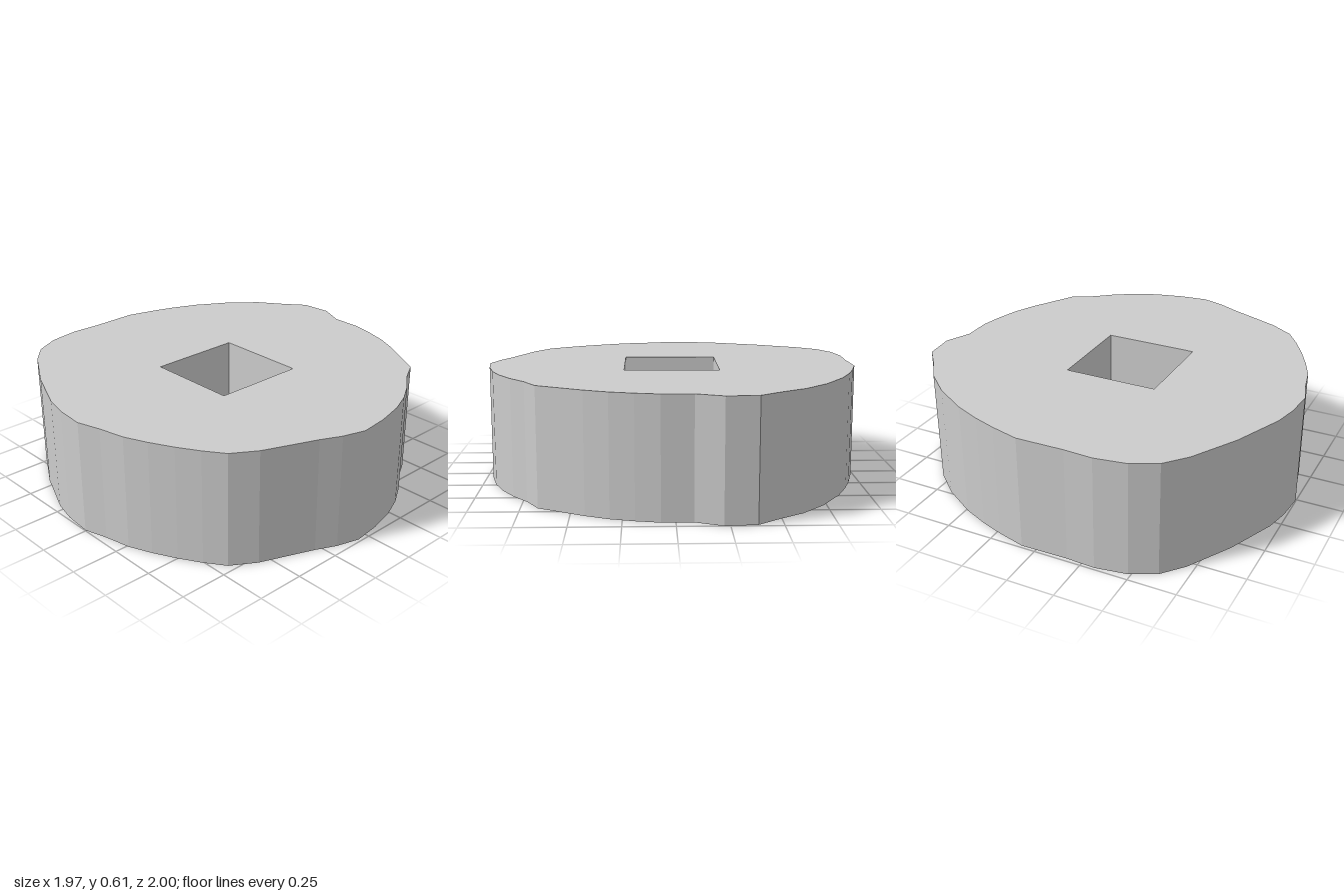
import * as THREE from 'three';

const HEIGHT = 0.605;

// Irregular outline of the slab, as [x, z] points seen from above
const OUTLINE = [
  [-0.22, -1], [-0.38, -0.985], [-0.49, -0.895], [-0.615, -0.805], [-0.735, -0.67],
  [-0.845, -0.49], [-0.905, -0.35], [-0.945, -0.23], [-0.985, -0.08], [-0.98, 0.17],
  [-0.987, 0.32], [-0.96, 0.485], [-0.895, 0.615], [-0.785, 0.71], [-0.55, 0.845],
  [-0.29, 0.955], [-0.16, 0.985], [-0.005, 0.997], [0.12, 0.96], [0.26, 0.93],
  [0.38, 0.88], [0.5, 0.82], [0.61, 0.755], [0.71, 0.685], [0.79, 0.56],
  [0.9, 0.285], [0.95, 0.18], [0.985, 0.06], [0.967, -0.09], [0.93, -0.24],
  [0.88, -0.36], [0.81, -0.475], [0.73, -0.575], [0.665, -0.69], [0.43, -0.825],
  [0.31, -0.88], [0.19, -0.915], [0.07, -0.94], [-0.085, -0.94],
];

// Square hole, slightly off centre
const HOLE = [[-0.25, -0.215], [0.25, -0.215], [0.25, 0.285], [-0.25, 0.285]];

const toPoints = (list) => list.map(([x, z]) => new THREE.Vector2(x, z));

export function createModel() {
  const shape = new THREE.Shape(toPoints(OUTLINE));
  shape.holes.push(new THREE.Path(toPoints(HOLE)));

  // Extrude, then lay flat so the shape's y becomes z and the base rests on y = 0
  const geometry = new THREE.ExtrudeGeometry(shape, { depth: HEIGHT, bevelEnabled: false });
  geometry.rotateX(Math.PI / 2).translate(0, HEIGHT, 0);

  const slab = new THREE.Mesh(
    geometry,
    new THREE.MeshStandardMaterial({ color: 0xcccccc, flatShading: true })
  );
  slab.name = 'slabWithSquareHole';

  const model = new THREE.Group();
  model.name = 'piercedStoneSlab';
  model.add(slab);
  return model;
}
